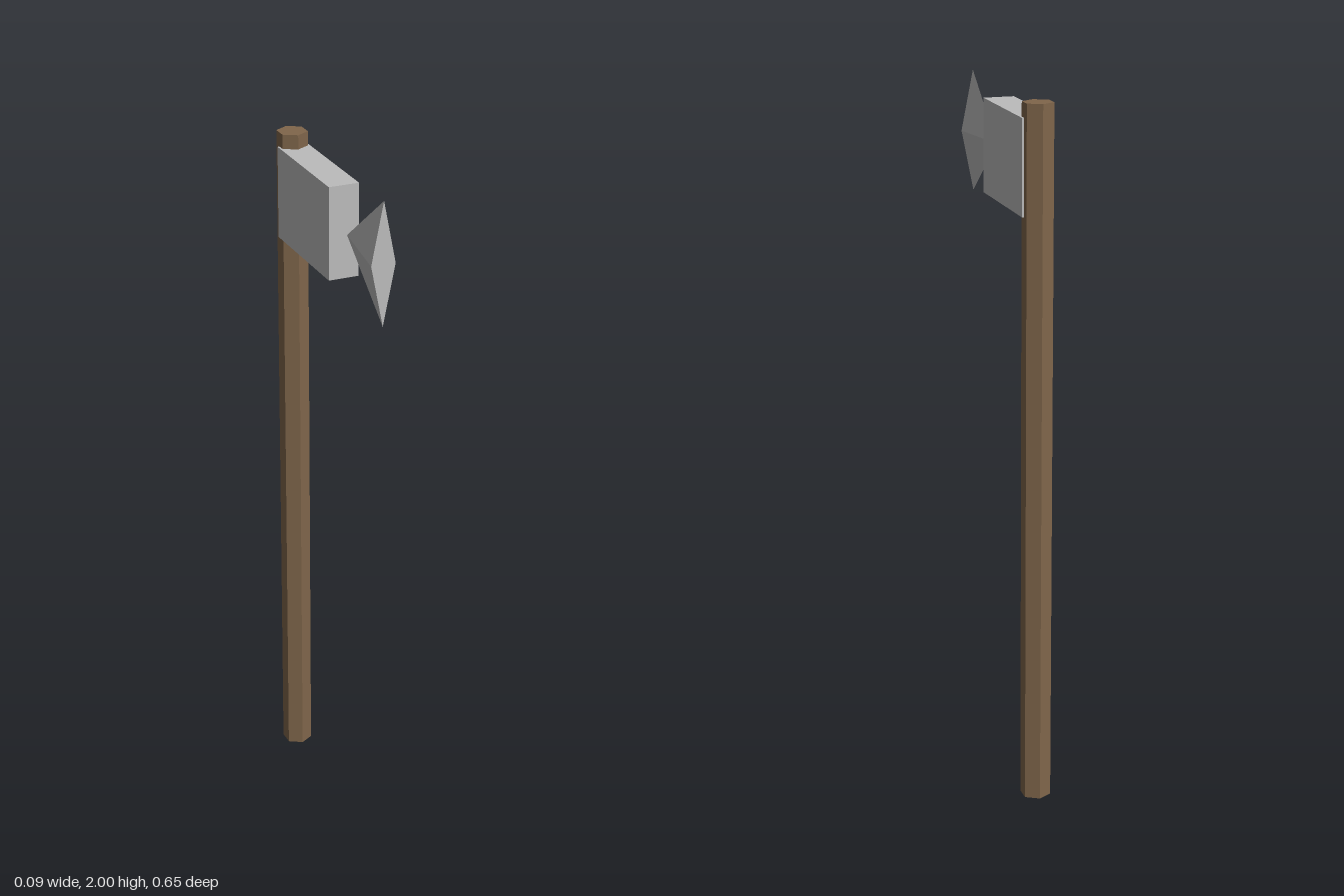
import * as THREE from 'three';

export function createModel() {
  const model = new THREE.Group();
  model.name = 'axe';

  const wood = new THREE.MeshStandardMaterial({ color: 0x80664b, flatShading: true });
  wood.name = 'wood';
  const steel = new THREE.MeshStandardMaterial({ color: 0xbcbcbc, flatShading: true });
  steel.name = 'steel';

  const add = (name, geometry, material, y, z) => {
    const mesh = new THREE.Mesh(geometry, material);
    mesh.name = name;
    mesh.position.set(0, y, z);
    model.add(mesh);
  };

  // Hexagonal shaft
  add('handle', new THREE.CylinderGeometry(0.044, 0.044, 2, 6), wood, 1, -0.282);

  // Block that grips the shaft
  add('headBlock', new THREE.BoxGeometry(0.088, 0.266, 0.355), steel, 1.826, -0.1045);

  // Four-sided blade, flattened sideways, with its tip towards the block
  const blade = new THREE.ConeGeometry(1, 0.232, 4)
    .rotateX(-Math.PI / 2)
    .scale(0.035, 0.175, 1);
  add('blade', blade, steel, 1.825, 0.21);

  return model;
}
